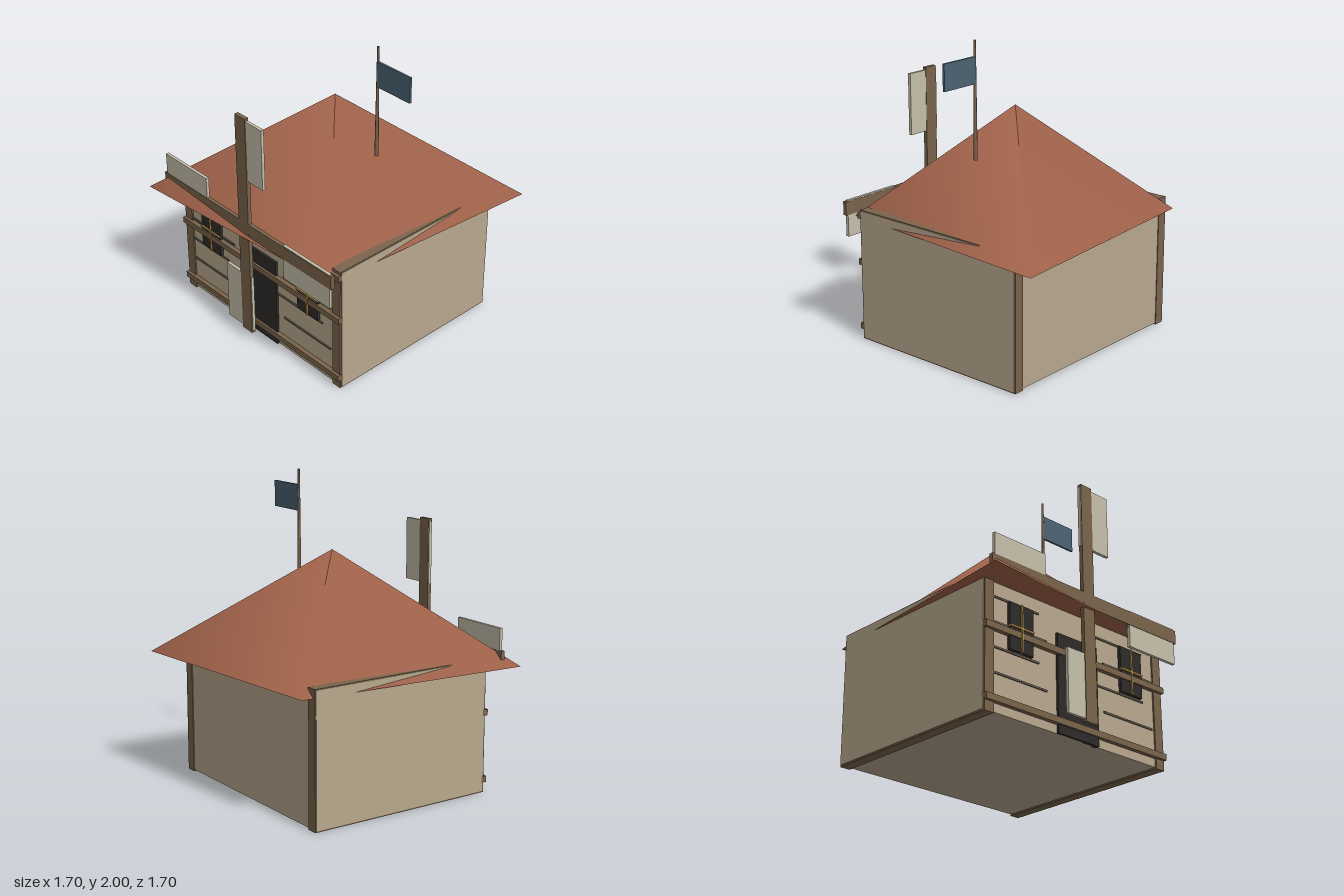
import * as THREE from 'three';

const mat = (color) => new THREE.MeshStandardMaterial({ color });
const plaster = mat(0xb8a88e), timber = mat(0x7a644c), canvas = mat(0xc6bfab), tile = mat(0xa0624a);
const dark = mat(0x2e2c29), brass = mat(0xb08c4a), cloth = mat(0x4c6372), groove = mat(0x665d50);

export function createModel() {
  const model = new THREE.Group();

  // Box given by its minimum and maximum on each axis
  const box = (name, material, [x0, x1], [y0, y1], [z0, z1], parent = model) => {
    const mesh = new THREE.Mesh(new THREE.BoxGeometry(x1 - x0, y1 - y0, z1 - z0), material);
    mesh.position.set((x0 + x1) / 2, (y0 + y1) / 2, (z0 + z1) / 2);
    mesh.name = name;
    parent.add(mesh);
    return mesh;
  };
  const group = (name) => {
    const g = new THREE.Group();
    g.name = name;
    model.add(g);
    return g;
  };

  // Walls with timber frames at both sides
  box('walls', plaster, [-0.75, 0.75], [0.015, 0.875], [-0.64, 0.64]);
  for (const s of [-1, 1]) {
    const xs = [0.675 * s, 0.745 * s].sort((a, b) => a - b);
    box('cornerTimbers', timber, xs, [0.005, 0.88], [-0.645, 0.65]);
  }

  // Horizontal beams across the front
  for (const [y0, y1] of [[0.07, 0.11], [0.51, 0.55], [0.82, 0.86]])
    box('frontBeam', timber, [-0.75, 0.75], [y0, y1], [0.63, 0.67]);

  // Door
  box('door', dark, [-0.17, 0.165], [0.015, 0.65], [0.62, 0.656]);

  // Windows with crossed glazing bars
  for (const x of [-0.467, 0.463]) {
    const w = group('window');
    box('pane', dark, [x - 0.093, x + 0.093], [0.425, 0.725], [0.63, 0.662], w);
    box('uprightBar', brass, [x - 0.006, x + 0.006], [0.425, 0.725], [0.65, 0.672], w);
    box('crossBar', brass, [x - 0.093, x + 0.093], [0.569, 0.581], [0.65, 0.672], w);
  }

  // Staggered wall boards on either side of the door
  const boards = group('wallBoards');
  [0.255, 0.412, 0.568, 0.727].forEach((y, row) => {
    const starts = row % 2 ? [-0.74, -0.525, 0.155, 0.37] : [-0.68, -0.46, 0.225, 0.445];
    for (const x of starts)
      box('board', groove, [x, x + 0.21], [y - 0.006, y + 0.006], [0.635, 0.648], boards);
  });

  // Pyramid roof, longer along one diagonal
  const roofShape = new THREE.ConeGeometry(1, 0.71, 4);
  roofShape.scale(1.2, 1, 1.02).rotateY(Math.PI / 4);
  const roof = new THREE.Mesh(roofShape, tile);
  roof.position.y = 0.82 + 0.355;
  roof.name = 'roof';
  model.add(roof);

  // Windmill sails: two crossed spars with one panel on each arm
  const sails = group('sails');
  box('uprightSpar', timber, [-0.049, 0.043], [0.09, 1.665], [0.735, 0.762], sails);
  box('crossSpar', timber, [-0.79, 0.785], [0.832, 0.922], [0.735, 0.761], sails);
  const panels = [
    [[-0.055, 0.185], [1.235, 1.647]],
    [[-0.19, 0.049], [0.108, 0.52]],
    [[-0.77, -0.362], [0.828, 1.065]],
    [[0.357, 0.768], [0.687, 0.928]],
  ];
  for (const [xs, ys] of panels) box('sailPanel', canvas, xs, ys, [0.737, 0.758], sails);

  // Flag on a tapering pole
  const pole = new THREE.Mesh(new THREE.CylinderGeometry(0.007, 0.013, 0.75, 8), timber);
  pole.position.set(0.372, 1.625, 0);
  pole.name = 'flagPole';
  model.add(pole);
  box('flag', cloth, [0.375, 0.647], [1.73, 1.9], [-0.007, 0.007]);

  return model;
}
